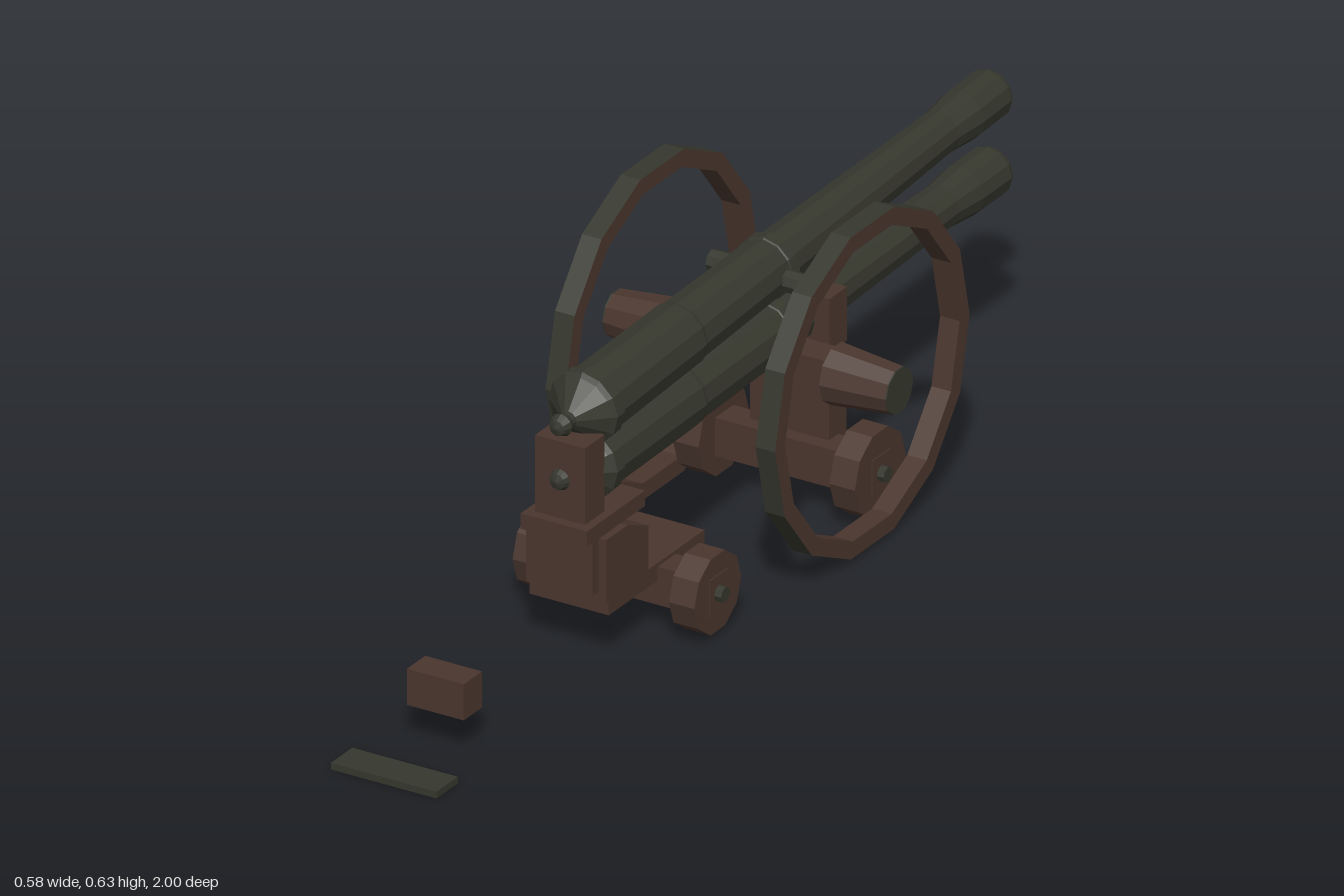
import * as THREE from 'three';

export function createModel() {
  const wood = new THREE.MeshStandardMaterial({ color: 0x4a362e });
  wood.name = 'dark brown wood';
  const iron = new THREE.MeshStandardMaterial({ color: 0x36372d });
  iron.name = 'dark olive iron';

  const model = new THREE.Group();
  model.name = 'twinCannon';

  // Faceted mesh: unshared corners give flat normals
  function add(name, geometry, material, x = 0, y = 0, z = 0, parent = model) {
    const flat = geometry.index ? geometry.toNonIndexed() : geometry;
    flat.computeVertexNormals();
    const mesh = new THREE.Mesh(flat, material);
    mesh.name = name;
    mesh.position.set(x, y, z);
    parent.add(mesh);
    return mesh;
  }

  // Box given by half width and its y and z ranges, centred on x
  function block(name, halfX, y0, y1, z0, z1, material = wood) {
    return add(name, new THREE.BoxGeometry(halfX * 2, y1 - y0, z1 - z0), material,
      0, (y0 + y1) / 2, (z0 + z1) / 2);
  }

  // Cylinder lying along x; rOut is the radius at +x
  function crossCylinder(rOut, rIn, length, sides) {
    return new THREE.CylinderGeometry(rOut, rIn, length, sides).rotateZ(-Math.PI / 2);
  }

  const lathe = (pts, sides) =>
    new THREE.LatheGeometry(pts.map(([r, h]) => new THREE.Vector2(r, h)), sides);

  // Barrel profile: radius and distance forward from the base ring
  const barrelProfile = [
    [0, -0.086], [0.015, -0.081], [0.022, -0.066], [0.015, -0.051], [0.016, -0.042],
    [0.062, 0], [0.071, 0.006], [0.071, 0.03], [0.066, 0.036],
    [0.064, 0.31], [0.061, 0.32], [0.057, 0.6], [0.06, 0.602], [0.06, 0.625], [0.053, 0.63],
    [0.041, 1.18], [0.048, 1.25], [0.048, 1.34], [0.044, 1.35],
    [0.022, 1.35], [0.02, 1.25], [0, 1.25],
  ];
  function barrel(name, y, tilt) {
    const group = new THREE.Group();
    group.name = name;
    group.position.set(0, y, 0.35);
    group.rotation.x = tilt;
    model.add(group);
    add(name + 'Tube', lathe(barrelProfile, 12).rotateX(-Math.PI / 2), iron, 0, 0, 0, group);
    return group;
  }
  const upper = barrel('upperBarrel', 0.453, 0.037);
  add('trunnions', crossCylinder(0.021, 0.021, 0.2, 8), iron, 0, -0.005, -0.59, upper);
  barrel('lowerBarrel', 0.347, 0.004);

  // Main axle with tapered hubs and large rims
  const hubY = 0.322, hubZ = -0.23;
  block('mainAxle', 0.17, 0.287, 0.357, hubZ - 0.03, hubZ + 0.03);
  const outer = 0.32, inner = 0.287, half = 0.02;
  for (const side of [1, -1]) {
    const label = side > 0 ? 'left' : 'right';
    const [rOut, rIn] = side > 0 ? [0.044, 0.057] : [0.057, 0.044];
    add(label + 'Hub', crossCylinder(rOut, rIn, 0.127, 10), wood, side * 0.2245, hubY, hubZ);
    add(label + 'HubCap', crossCylinder(0.044, 0.044, 0.004, 10), iron, side * 0.289, hubY, hubZ);
    add(label + 'WheelRim',
      lathe([[outer, half], [inner, half], [inner, -half], [outer, -half]], 14).rotateZ(-Math.PI / 2),
      wood, side * 0.215, hubY, hubZ);
    add(label + 'WheelTyre',
      lathe([[outer, -half], [outer, half]], 14).rotateZ(-Math.PI / 2),
      iron, side * 0.215, hubY, hubZ);
  }

  // Small truck wheels on their own axles
  for (const [name, z, y, r] of [['front', 0.2, 0.084, 0.077], ['rear', -0.335, 0.092, 0.084]]) {
    block(name + 'TruckAxle', 0.188, y - 0.039, y + 0.035, z - 0.031, z + 0.029);
    add(name + 'AxlePin', crossCylinder(0.015, 0.015, 0.404, 8), iron, 0, y, z);
    for (const side of [1, -1]) {
      add(name + 'TruckWheel', crossCylinder(r, r, 0.052, 10), wood, side * 0.16, y, z);
    }
  }

  // Front carriage: bed, sloped block, plate and upright
  block('bedPlank', 0.081, 0.092, 0.126, 0.075, 0.39);
  const slope = new THREE.Shape([[0.26, 0.12], [0.4, 0.12], [0.4, 0.242], [0.33, 0.242], [0.26, 0.212]]
    .map(([z, y]) => new THREE.Vector2(z, y)));
  add('carriageBlock',
    new THREE.ExtrudeGeometry(slope, { depth: 0.164, bevelEnabled: false })
      .translate(0, 0, -0.082).rotateY(-Math.PI / 2), wood);
  block('carriageFace', 0.066, 0.137, 0.243, 0.38, 0.42);
  block('topPlate', 0.068, 0.242, 0.272, 0.25, 0.44);
  block('breechUpright', 0.051, 0.27, 0.42, 0.355, 0.42);

  // Rear supports under and around the lower barrel
  block('rearBolster', 0.081, 0.11, 0.244, -0.393, -0.335);
  block('barrelBracket', 0.082, 0.297, 0.401, -0.393, -0.335);

  // Loose block and iron plate lying behind the breech
  block('looseBlock', 0.058, 0.067, 0.137, 0.77, 0.83);
  block('groundPlate', 0.108, 0, 0.013, 0.93, 1, iron);

  return model;
}
